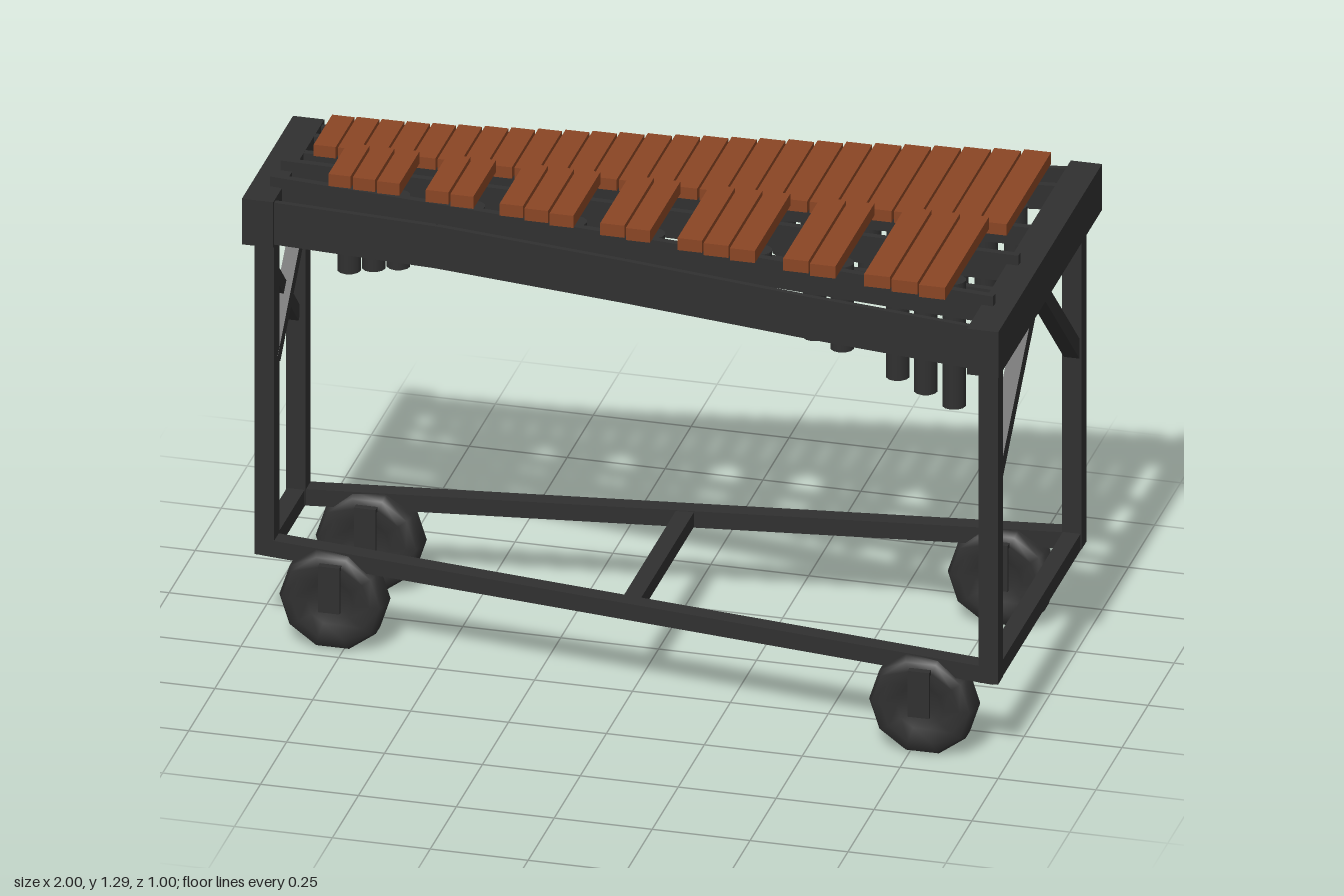
import * as THREE from 'three';

export function createModel() {
  const model = new THREE.Group();
  model.name = 'barPercussion';
  const frameMat = new THREE.MeshStandardMaterial({ color: 0x303030 });
  frameMat.name = 'frame black';
  const woodMat = new THREE.MeshStandardMaterial({ color: 0x8a4524 });
  woodMat.name = 'bar wood';

  const add = (name, geo, mat, x, y, z) => {
    const m = new THREE.Mesh(geo, mat);
    m.name = name;
    m.position.set(x, y, z);
    model.add(m);
    return m;
  };
  const box = (name, w, h, d, x, y, z, mat = frameMat) =>
    add(name, new THREE.BoxGeometry(w, h, d), mat, x, y, z);
  // Box stretched between two points: w across, h upright
  const beam = (name, a, b, w, h) => {
    const p = new THREE.Vector3(...a), q = new THREE.Vector3(...b);
    const c = p.clone().add(q).multiplyScalar(0.5);
    const m = box(name, w, h, p.distanceTo(q), c.x, c.y, c.z);
    m.lookAt(q);
    return m;
  };
  // Piecewise linear lookup
  const lerpTable = (pts, x) => {
    let i = 0;
    while (i < pts.length - 2 && x > pts[i + 1][0]) i++;
    const [x0, y0] = pts[i], [x1, y1] = pts[i + 1];
    return y0 + ((y1 - y0) * (x - x0)) / (x1 - x0);
  };

  // End beams
  box('lowEndBeam', 0.08, 0.125, 0.995, 0.96, 1.158, 0);
  box('highEndBeam', 0.08, 0.125, 0.49, -0.96, 1.158, -0.005);

  const sidePath = [[-0.96, 0.222], [-0.5, 0.253], [0, 0.325], [0.5, 0.408], [0.96, 0.472]];
  const railZ = (x) => 0.275 + 0.13 * x;
  for (const s of [1, -1]) {
    // Legs and lower rails
    box('lowEndLeg', 0.05, 0.88, 0.05, 0.955, 0.66, s * 0.4);
    box('highEndLeg', 0.05, 0.88, 0.05, -0.96, 0.66, s * 0.15);
    beam('lowerRail', [-0.97, 0.24, s * railZ(-0.97)], [0.97, 0.24, s * railZ(0.97)], 0.045, 0.045);

    // Curved side panels
    for (let i = 0; i < sidePath.length - 1; i++) {
      const [x0, z0] = sidePath[i], [x1, z1] = sidePath[i + 1];
      beam('sidePanel', [x0, 1.158, s * z0], [x1, 1.158, s * z1], 0.014, 0.115);
    }

    // Diagonal end braces
    beam('lowEndBrace', [0.955, 0.755, s * 0.39], [0.955, 1.08, s * 0.045], 0.04, 0.04);
    beam('highEndBrace', [-0.96 + s * 0.008, 0.74, s * 0.13], [-0.96 + s * 0.008, 1.01, -s * 0.145], 0.035, 0.035);
  }
  box('lowEndCrossRail', 0.045, 0.045, 0.84, 0.955, 0.24, 0);
  box('highEndCrossRail', 0.045, 0.045, 0.34, -0.96, 0.24, 0);
  box('middleCrossRail', 0.045, 0.04, 0.55, 0, 0.24, 0);

  // Bar support rails
  beam('naturalInnerRail', [-0.95, 1.195, -0.06], [0.95, 1.195, -0.11], 0.018, 0.05);
  beam('naturalOuterRail', [-0.95, 1.195, -0.155], [0.95, 1.195, -0.36], 0.018, 0.05);
  beam('raisedInnerRail', [-0.95, 1.21, 0.05], [0.95, 1.21, 0.108], 0.018, 0.075);
  beam('raisedOuterRail', [-0.95, 1.21, 0.145], [0.95, 1.21, 0.35], 0.018, 0.075);
  beam('raisedMiddleRail', [-0.95, 1.17, 0.08], [0.95, 1.17, 0.2], 0.018, 0.04);

  // Sound bars with a resonator tube under each, from low to high
  const outerEnd = [[-0.9, 0.19], [-0.65, 0.205], [-0.4, 0.238], [0.885, 0.447]];
  const naturalTube = [[-0.9, 1.12], [0, 1.085], [0.2, 1.055], [0.5, 0.985], [0.7, 0.92], [0.87, 0.853]];
  const raisedTube = [[-0.8, 0.985], [-0.65, 1.02], [-0.5, 1.045], [-0.3, 1.072], [-0.05, 1.092],
    [0.2, 1.06], [0.5, 0.99], [0.82, 0.87]];
  const tube = (name, x, z, bottom) => {
    const top = 1.215;
    add(name, new THREE.CylinderGeometry(0.03, 0.03, top - bottom, 12), frameMat, x, (top + bottom) / 2, z);
  };
  const count = 26;
  let right = 0.888;
  for (let i = 0; i < count; i++) {
    const pitch = 0.0742 - (0.0118 * i) / (count - 1);
    const x = right - pitch / 2;
    const end = lerpTable(outerEnd, x);
    box('naturalBar', pitch - 0.006, 0.031, end - 0.015, x, 1.249, -(end + 0.015) / 2, woodMat);
    tube('naturalResonator', x, -(end + 0.015) / 2, lerpTable(naturalTube, x));
    right -= pitch;
    // Raised bars sit over the joints, in groups of three and two
    if (i < count - 1 && i % 7 !== 3 && i % 7 !== 6) {
      const e = lerpTable(outerEnd, right) - 0.002;
      box('raisedBar', pitch - 0.007, 0.033, e - 0.012, right, 1.277, (e + 0.012) / 2, woodMat);
      tube('raisedResonator', right, (e + 0.012) / 2, lerpTable(raisedTube, right));
    }
  }

  // Casters: ten-sided rounded wheels held by pairs of fork plates
  const profile = [[0, -0.03], [0.045, -0.03], [0.06, -0.042], [0.1, -0.045], [0.125, -0.04], [0.136, -0.022],
    [0.136, 0.022], [0.125, 0.04], [0.1, 0.045], [0.06, 0.042], [0.045, 0.03], [0, 0.03]]
    .map(([r, h]) => new THREE.Vector2(r, h));
  const wheelGeo = new THREE.LatheGeometry(profile, 10);
  wheelGeo.rotateY(Math.PI / 10 * 5);
  wheelGeo.rotateX(Math.PI / 2);
  for (const x of [-0.78, 0.78]) {
    for (const s of [1, -1]) {
      const z = s * railZ(x);
      add('wheel', wheelGeo, frameMat, x, 0.13, z);
      for (const d of [-0.056, 0.056]) box('forkPlate', 0.055, 0.125, 0.01, x, 0.173, z + d);
      box('forkTop', 0.055, 0.012, 0.122, x, 0.23, z);
      const axle = add('axle', new THREE.CylinderGeometry(0.012, 0.012, 0.11, 8), frameMat, x, 0.13, z);
      axle.rotation.x = Math.PI / 2;
    }
  }
  return model;
}
